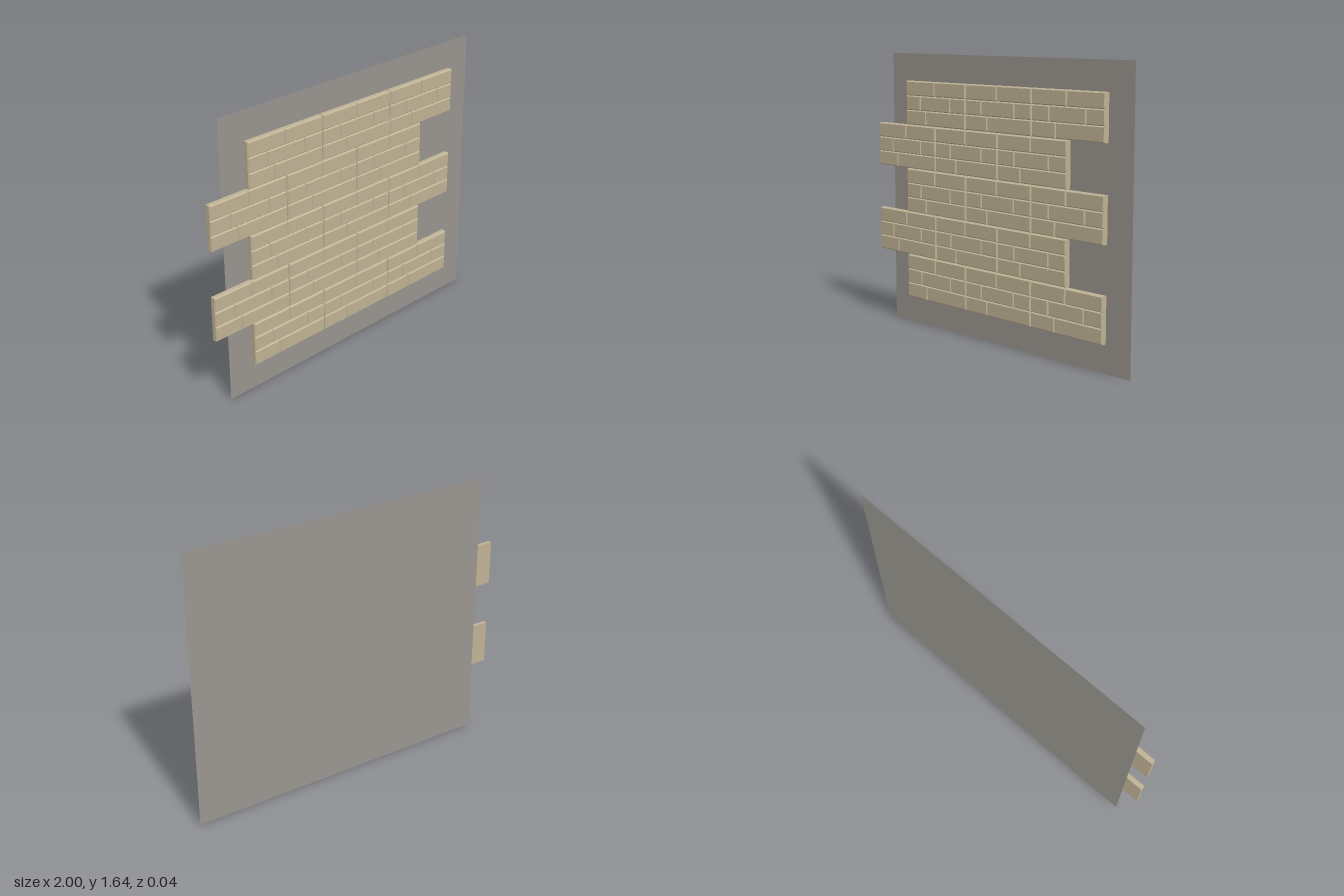
import * as THREE from 'three';

const stone = new THREE.MeshStandardMaterial({ color: 0xbfb294 });
stone.name = 'sandstone';
const wall = new THREE.MeshStandardMaterial({ color: 0x99958f, side: THREE.DoubleSide });
wall.name = 'wall grey';

const PANEL_W = 0.521, PANEL_H = 0.26;
const PITCH_X = 0.5255, PITCH_Y = 0.264;
const BACK = -0.014, BASE = 0.01, FRONT = 0.018;

// Box whose front face is pulled inwards to make a bevelled brick
function brickGeometry(w, h, depth, inset) {
  const geo = new THREE.BoxGeometry(w, h, depth);
  const p = geo.attributes.position;
  for (let i = 0; i < p.count; i++) {
    if (p.getZ(i) > 0) {
      p.setX(i, p.getX(i) - Math.sign(p.getX(i)) * inset);
      p.setY(i, p.getY(i) - Math.sign(p.getY(i)) * inset);
    }
  }
  geo.computeVertexNormals();
  return geo;
}

// One cladding panel: a slab carrying three courses of bricks
function createPanel() {
  const panel = new THREE.Group();
  const slab = new THREE.Mesh(new THREE.BoxGeometry(PANEL_W, PANEL_H, BASE - BACK), stone);
  slab.name = 'panelSlab';
  slab.position.z = (BASE + BACK) / 2;
  panel.add(slab);

  // Brick ends along each course, from bottom to top
  const courses = [[0, 0.34, 1], [0, 0.25, 0.75, 1], [0, 0.49, 1]];
  const h = PANEL_H / courses.length;
  courses.forEach((ends, row) => {
    for (let i = 0; i < ends.length - 1; i++) {
      const w = (ends[i + 1] - ends[i]) * PANEL_W;
      const brick = new THREE.Mesh(brickGeometry(w, h, FRONT - BASE, 0.006), stone);
      brick.name = 'brick';
      brick.position.set(
        ((ends[i] + ends[i + 1]) / 2 - 0.5) * PANEL_W,
        (row + 0.5) * h - PANEL_H / 2,
        (FRONT + BASE) / 2
      );
      panel.add(brick);
    }
  });
  return panel;
}

export function createModel() {
  const model = new THREE.Group();
  model.name = 'brickCladding';

  // Flat wall behind the panels
  const backing = new THREE.Mesh(new THREE.PlaneGeometry(1.897, 1.64), wall);
  backing.name = 'backingWall';
  backing.position.set(0.0515, 0.82, -0.018);
  model.add(backing);

  // Five staggered rows of three panels
  const panel = createPanel();
  for (let row = 0; row < 5; row++) {
    const startX = row % 2 ? -1 : -0.738;
    for (let col = 0; col < 3; col++) {
      const copy = panel.clone();
      copy.name = 'claddingPanel';
      copy.position.set(startX + col * PITCH_X + PANEL_W / 2, 0.162 + row * PITCH_Y + PANEL_H / 2, 0);
      model.add(copy);
    }
  }
  return model;
}
